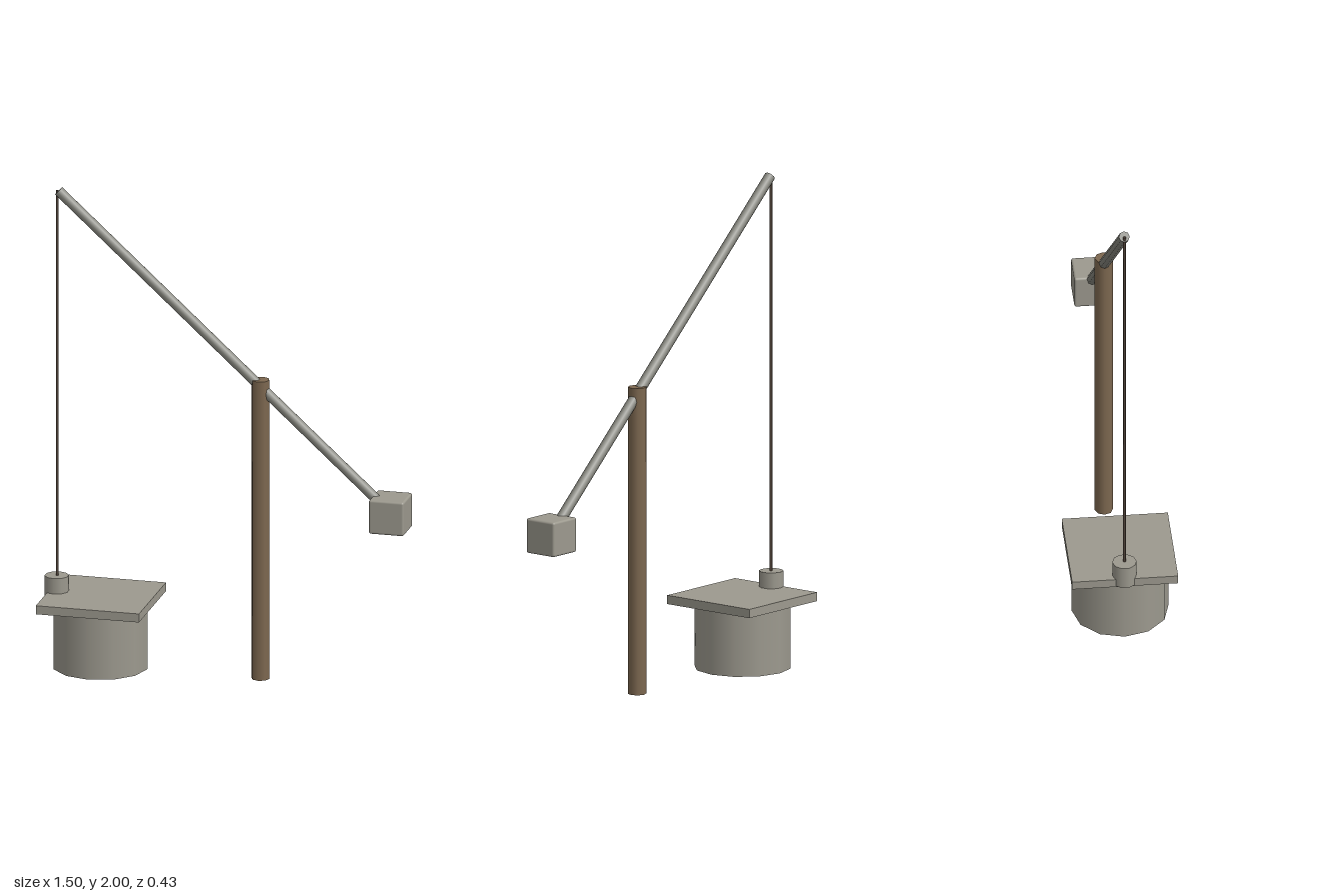
import * as THREE from 'three';
import { RoundedBoxGeometry } from 'three/addons/geometries/RoundedBoxGeometry.js';

const material = (name, color) => {
  const m = new THREE.MeshStandardMaterial({ color });
  m.name = name;
  return m;
};

export function createModel() {
  const model = new THREE.Group();
  model.name = 'shadoofWell';
  const stone = material('stone', 0x9c998e);
  const beamGrey = material('weathered grey wood', 0x84847c);
  const wood = material('brown wood', 0x7d6850);
  const ropeBrown = material('dark rope', 0x51443a);

  const add = (name, geometry, mat, x, y, z = 0) => {
    const mesh = new THREE.Mesh(geometry, mat);
    mesh.name = name;
    mesh.position.set(x, y, z);
    model.add(mesh);
    return mesh;
  };

  // Cylinder standing upright between two heights
  const upright = (name, mat, x, radius, y0, y1, sides) =>
    add(name, new THREE.CylinderGeometry(radius, radius, y1 - y0, sides), mat, x, (y0 + y1) / 2);

  // Well body and square cover
  upright('wellBody', stone, -0.525, 0.195, 0, 0.27, 12);
  add('wellCover', new THREE.BoxGeometry(0.427, 0.036, 0.427), stone, -0.523, 0.282);

  // Upright post
  upright('post', wood, 0.138, 0.037, 0, 1.257, 8);

  // Sloping beam, its lower end buried in the counterweight
  const tip = new THREE.Vector3(-0.698, 1.983, 0);
  const heel = new THREE.Vector3(0.64, 0.773, 0);
  const along = tip.clone().sub(heel);
  const middle = tip.clone().add(heel).multiplyScalar(0.5);
  const beam = add('beam', new THREE.CylinderGeometry(0.022, 0.022, along.length(), 8), beamGrey, middle.x, middle.y);
  beam.quaternion.setFromUnitVectors(new THREE.Vector3(0, 1, 0), along.normalize());

  // Counterweight block with softened edges
  add('counterweight', new RoundedBoxGeometry(0.145, 0.142, 0.145, 2, 0.009), stone, 0.677, 0.738);

  // Rope and bucket hanging from the tip
  upright('rope', ropeBrown, -0.704, 0.006, 0.36, 1.985, 6);
  upright('bucket', stone, -0.706, 0.049, 0.268, 0.365, 10);

  return model;
}
